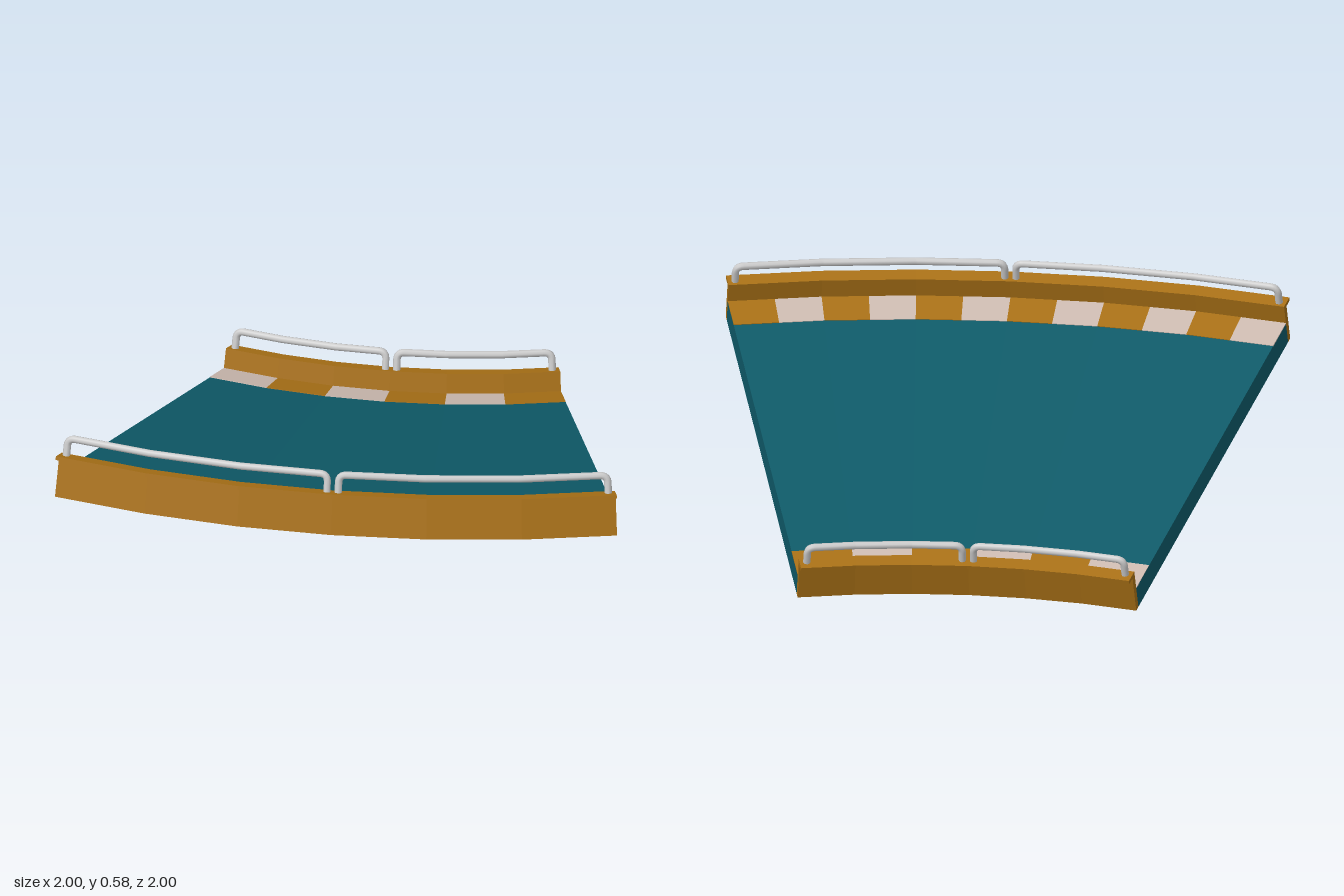
import * as THREE from 'three';

const RAD = Math.PI / 180;
const CENTRE = 2.01;          // the bend turns about (CENTRE, -CENTRE)
const R0 = 2.085;             // radius of the inner bottom edge
const BANK = 15 * RAD;
const WIDTH = 1.44, DECK = 0.075, WALL = 0.13, CAP = 0.142, THICK = 0.02;
const A0 = 30, A1 = 60, STEP = 5;

const mat = (color) => new THREE.MeshStandardMaterial({ color, flatShading: true });
const teal = mat(0x0e5a68), orange = mat(0xa87016), cream = mat(0xccbab0);
const steel = new THREE.MeshStandardMaterial({ color: 0xcccccc });

// Point on the banked bend: a = angle, u = across the slope, v = off the slope
function arcPoint(a, u, v) {
  const r = R0 + u * Math.cos(BANK) - v * Math.sin(BANK);
  const y = u * Math.sin(BANK) + v * Math.cos(BANK);
  return new THREE.Vector3(CENTRE - r * Math.cos(a * RAD), y, -CENTRE + r * Math.sin(a * RAD));
}

// Same, kept on the straight facets between the 5 degree steps
function point(a, u, v) {
  const k = Math.floor((a - A0) / STEP + 1e-6);
  const from = A0 + k * STEP;
  return arcPoint(from, u, v).lerp(arcPoint(from + STEP, u, v), (a - from) / STEP);
}

// Sweep a rectangular section along the bend
function sweep(name, material, u0, u1, v0, v1, a0 = A0, a1 = A1, step = STEP) {
  const section = [[u0, v0], [u1, v0], [u1, v1], [u0, v1]];
  const pos = [];
  const quad = (a, b, c, d) => [a, b, c, a, c, d].forEach((p) => pos.push(p.x, p.y, p.z));
  const ring = (a) => section.map(([u, v]) => point(a, u, v));
  const n = Math.round((a1 - a0) / step);
  for (let i = 0; i < n; i++) {
    const s = ring(a0 + i * step), e = ring(a0 + (i + 1) * step);
    for (let j = 0; j < 4; j++) {
      const k = (j + 1) % 4;
      quad(s[j], e[j], e[k], s[k]);
    }
    if (i === 0) quad(...s);
    if (i === n - 1) quad(...e.slice().reverse());
  }
  const geo = new THREE.BufferGeometry();
  geo.setAttribute('position', new THREE.Float32BufferAttribute(pos, 3));
  geo.computeVertexNormals();
  const mesh = new THREE.Mesh(geo, material);
  mesh.name = name;
  return mesh;
}

// Tubular hand rail with rounded corners, standing on a wall cap
function rail(u, a0, a1) {
  const top = 0.2, foot = CAP - 0.005, bend = 0.025;
  const da = bend / (R0 + u * Math.cos(BANK)) / RAD;
  const path = new THREE.CurvePath();
  const corners = [];
  for (let a = Math.ceil((a0 + 0.1) / STEP) * STEP; a < a1 - 0.1; a += STEP) corners.push(point(a, u, top));
  const start = point(a0 + da, u, top), end = point(a1 - da, u, top);
  const line = (p, q) => path.add(new THREE.LineCurve3(p, q));
  line(point(a0, u, foot), point(a0, u, top - bend));
  path.add(new THREE.QuadraticBezierCurve3(point(a0, u, top - bend), point(a0, u, top), start));
  const run = [start, ...corners, end];
  for (let i = 1; i < run.length; i++) line(run[i - 1], run[i]);
  path.add(new THREE.QuadraticBezierCurve3(end, point(a1, u, top), point(a1, u, top - bend)));
  line(point(a1, u, top - bend), point(a1, u, foot));
  const mesh = new THREE.Mesh(new THREE.TubeGeometry(path, 120, 0.012, 8), steel);
  mesh.name = 'handRail';
  return mesh;
}

// Alternating kerb blocks lying on the deck
function kerb(name, u0, u1, count) {
  const group = new THREE.Group();
  group.name = name;
  const w = (A1 - A0) / count;
  for (let i = 0; i < count; i++) {
    group.add(sweep('kerbBlock', i % 2 ? orange : cream, u0, u1, DECK - 0.002, DECK + 0.002,
      A0 + i * w, A0 + (i + 1) * w, w));
  }
  return group;
}

export function createModel() {
  const model = new THREE.Group();
  model.name = 'bankedTrackBend';

  // Road slab and kerbs
  model.add(sweep('roadDeck', teal, THICK, WIDTH - THICK, 0, DECK));
  model.add(kerb('innerKerb', THICK, 0.14, 6));
  model.add(kerb('outerKerb', WIDTH - 0.14, WIDTH - THICK, 12));

  // Side walls with caps overhanging away from the road
  model.add(sweep('innerWall', orange, 0, THICK, 0, WALL));
  model.add(sweep('outerWall', orange, WIDTH - THICK, WIDTH, 0, WALL));
  model.add(sweep('innerWallCap', orange, -0.03, THICK, WALL, CAP));
  model.add(sweep('outerWallCap', orange, WIDTH - THICK, WIDTH + 0.03, WALL, CAP));

  // Two rails on each wall
  const mid = (A0 + A1) / 2;
  for (const [u, gap] of [[0, 0.5], [WIDTH, 0.3]]) {
    model.add(rail(u, A0 + gap * 1.3, mid - gap), rail(u, mid + gap, A1 - gap * 1.3));
  }
  return model;
}
